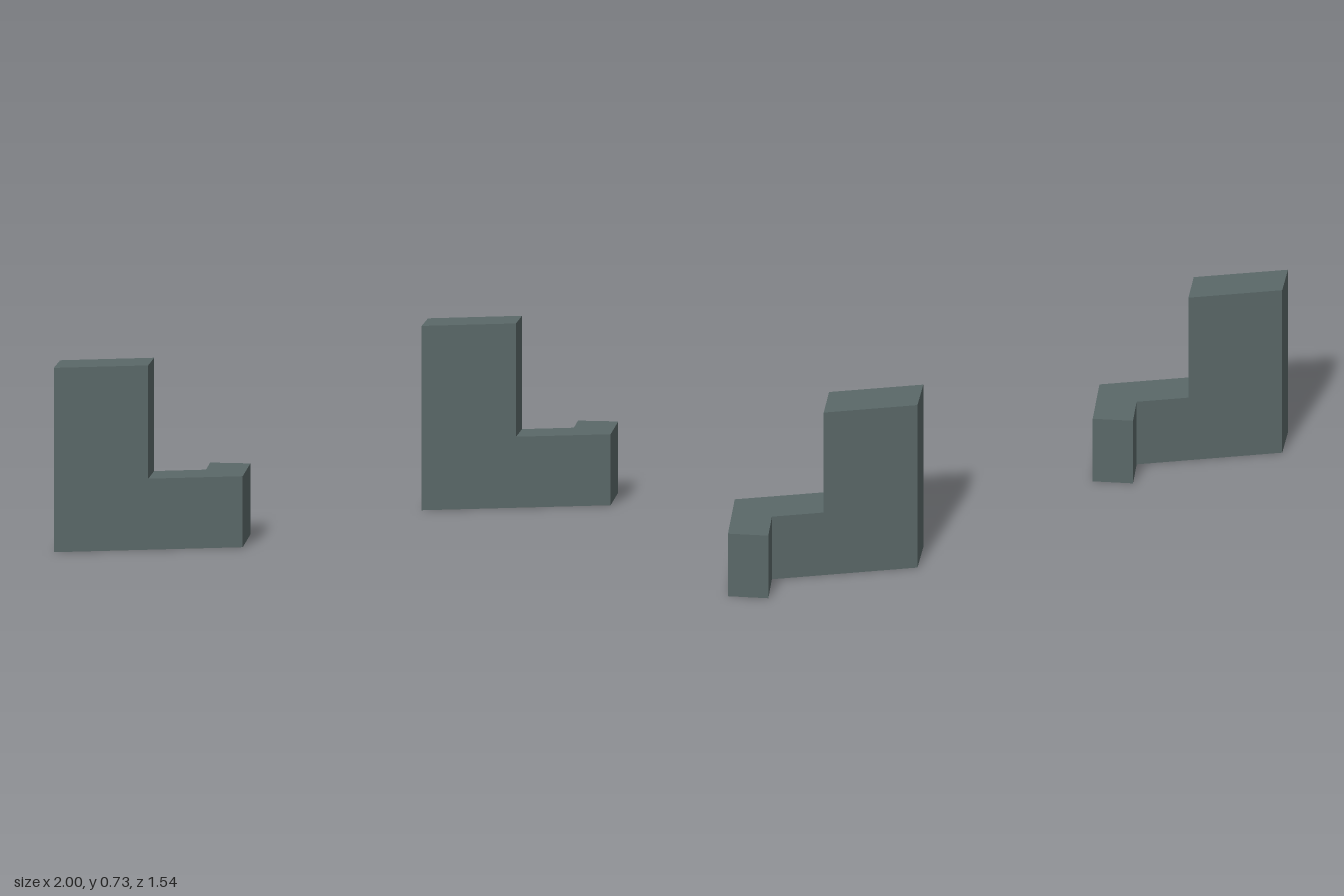
import * as THREE from 'three';

const material = new THREE.MeshStandardMaterial({ color: 0x5a6868, flatShading: true });

// Vertical prism over a plan outline of [x, z] corners
function prism(name, outline, bottom, top) {
  const shape = new THREE.Shape(outline.map(([x, z]) => new THREE.Vector2(x, -z)));
  const geometry = new THREE.ExtrudeGeometry(shape, { depth: top - bottom, bevelEnabled: false });
  geometry.rotateX(-Math.PI / 2).translate(0, bottom, 0);
  const mesh = new THREE.Mesh(geometry, material);
  mesh.name = name;
  return mesh;
}

// One slanted L-shaped wall with a short return at its low end
function createWall(name) {
  const wall = new THREE.Group();
  wall.name = name;
  wall.add(
    prism('lowWall', [
      [-1, 0.767], [-0.29, 0.56], [-0.298, 0.293],
      [-0.455, 0.297], [-0.45, 0.445], [-0.998, 0.607],
    ], 0, 0.28),
    prism('tallWall', [
      [-1, 0.767], [-0.645, 0.6635], [-0.645, 0.5026], [-0.998, 0.607],
    ], 0.28, 0.727),
  );
  return wall;
}

export function createModel() {
  const model = new THREE.Group();
  model.name = 'wallPair';
  const rightWall = createWall('rightWall');
  const leftWall = createWall('leftWall');
  // Same wall repeated diagonally behind
  leftWall.position.set(1.288, 0, -1.063);
  model.add(rightWall, leftWall);
  return model;
}
